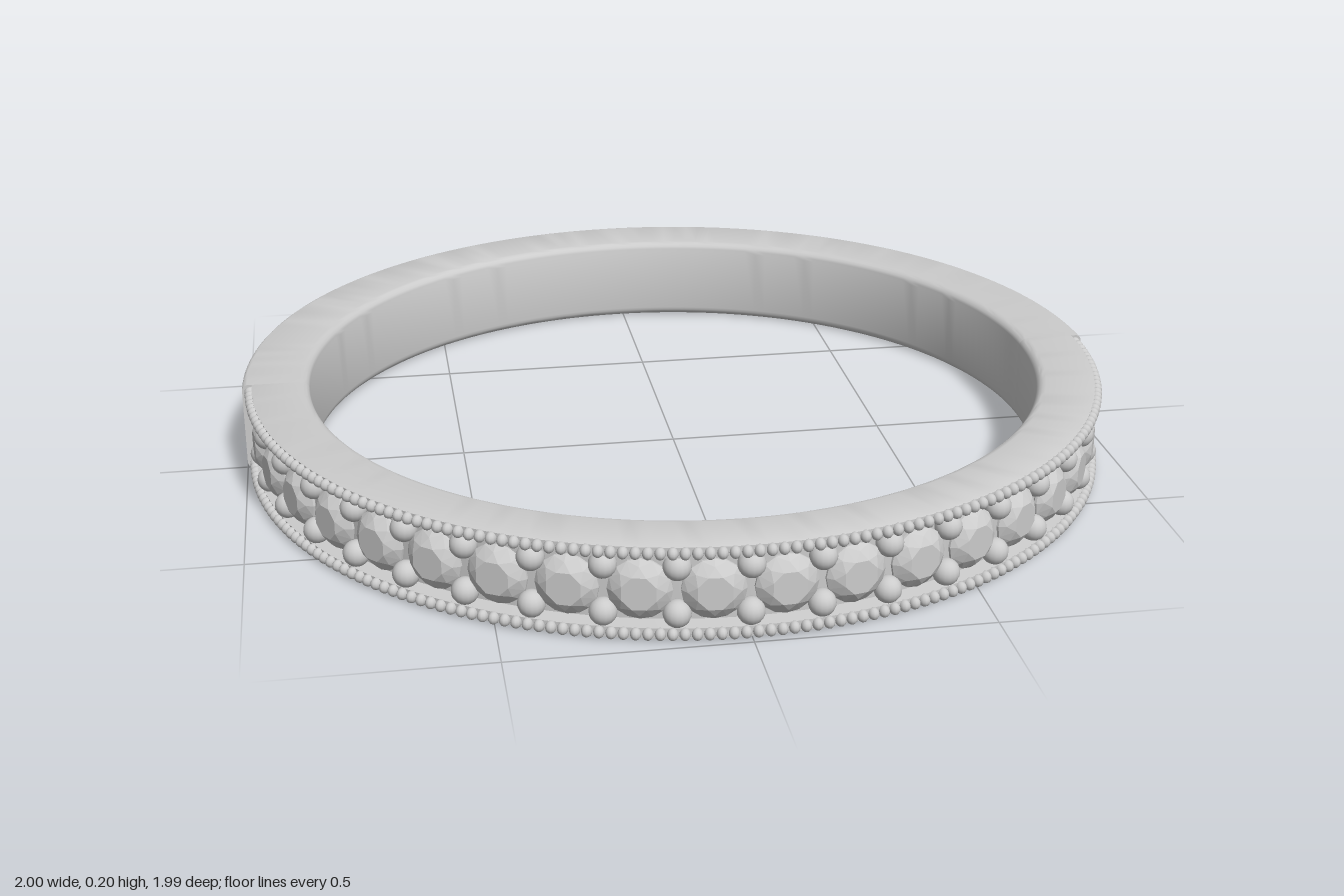
import * as THREE from 'three';
import { mergeGeometries, toCreasedNormals } from 'three/addons/utils/BufferGeometryUtils.js';
import { ConvexGeometry } from 'three/addons/geometries/ConvexGeometry.js';

const H = 0.205, R_OUT = 1, R_IN = 0.845, MID = H / 2;
const PITCH = 0.153; // angle between neighbouring stones

const material = new THREE.MeshStandardMaterial({ color: 0xcccccc });
const doubleSided = new THREE.MeshStandardMaterial({ color: 0xcccccc, side: THREE.DoubleSide });

// Rounded corner as a list of profile points
function corner(cx, cy, r, from) {
  return Array.from({ length: 6 }, (_, i) => {
    const a = from + (i / 5) * Math.PI / 2;
    return new THREE.Vector2(cx + r * Math.cos(a), cy + r * Math.sin(a));
  });
}

// Top, bore and bottom of the band, shared by both halves
function innerSide() {
  const r = 0.022;
  return [
    ...corner(R_IN + r, H - r, r, Math.PI / 2),
    ...corner(R_IN + r, r, r, Math.PI),
  ];
}

// Half ring swept from a closed profile
function halfBand(profile, start) {
  const lathe = new THREE.LatheGeometry([...profile, profile[0].clone()], 96, start, Math.PI);
  return toCreasedNormals(lathe, 0.6);
}

// Copies of a z-facing geometry placed around the band
function around(geometry, angles, radius, heights) {
  const copies = [];
  for (const a of angles) {
    for (const y of heights) {
      copies.push(geometry.clone().translate(0, 0, radius).rotateY(a).translate(0, y, 0));
    }
  }
  return mergeGeometries(copies);
}

// Evenly spaced angles centred on the front
function spread(count, step) {
  return Array.from({ length: count }, (_, i) => (i - (count - 1) / 2) * step);
}

// Faceted round stone, table facing +z
function stoneGeometry() {
  const points = [new THREE.Vector3(0, 0, -0.035)];
  const ringOf = (n, r, z, turn) => {
    for (let i = 0; i < n; i++) {
      const a = ((i + turn) / n) * Math.PI * 2;
      points.push(new THREE.Vector3(r * Math.cos(a), r * Math.sin(a), z));
    }
  };
  ringOf(8, 0.038, 0.024, 0.5);
  ringOf(8, 0.054, 0.013, 0);
  ringOf(16, 0.066, 0, 0);
  ringOf(16, 0.066, -0.005, 0);
  return new ConvexGeometry(points);
}

export function createModel() {
  const group = new THREE.Group();
  const add = (name, geometry, mat = material) => {
    const mesh = new THREE.Mesh(geometry, mat);
    mesh.name = name;
    group.add(mesh);
  };

  // Plain back half
  const e = 0.012;
  const plain = [
    ...corner(R_OUT - e, e, e, -Math.PI / 2),
    ...corner(R_OUT - e, H - e, e, 0),
    ...innerSide(),
  ];
  add('plainBand', halfBand(plain, Math.PI / 2));

  // End faces where the plain half meets the channel
  for (const side of [1, -1]) {
    const face = new THREE.ShapeGeometry(new THREE.Shape(plain.map(p => new THREE.Vector2(p.x * side, p.y))));
    add(side > 0 ? 'leftEndFace' : 'rightEndFace', face, doubleSided);
  }

  // Front half with a sunken channel between two rails
  const rail = 0.978, floor = 0.945, w = 0.025;
  const channel = [
    [rail, 0.002], [rail, w], [floor, w + 0.004],
    [floor, H - w - 0.004], [rail, H - w], [rail, H - 0.002], [rail - 0.004, H],
  ].map(([x, y]) => new THREE.Vector2(x, y));
  channel.push(...innerSide(), new THREE.Vector2(rail - 0.004, 0));
  add('channelBand', halfBand(channel, -Math.PI / 2));

  // Row of stones
  add('stones', around(stoneGeometry(), spread(20, PITCH), 0.96, [MID]));

  // Pairs of holding beads between the stones
  const bead = new THREE.SphereGeometry(0.029, 16, 12);
  add('holdingBeads', around(bead, spread(21, PITCH), 0.962, [MID - 0.052, MID + 0.052]));

  // Fine beaded edging on both rails
  const grain = new THREE.SphereGeometry(0.0115, 10, 8).scale(1, 1.15, 1.2);
  add('beadedEdges', around(grain, spread(126, Math.PI / 126), 0.981, [0.0135, H - 0.0135]));

  return group;
}
